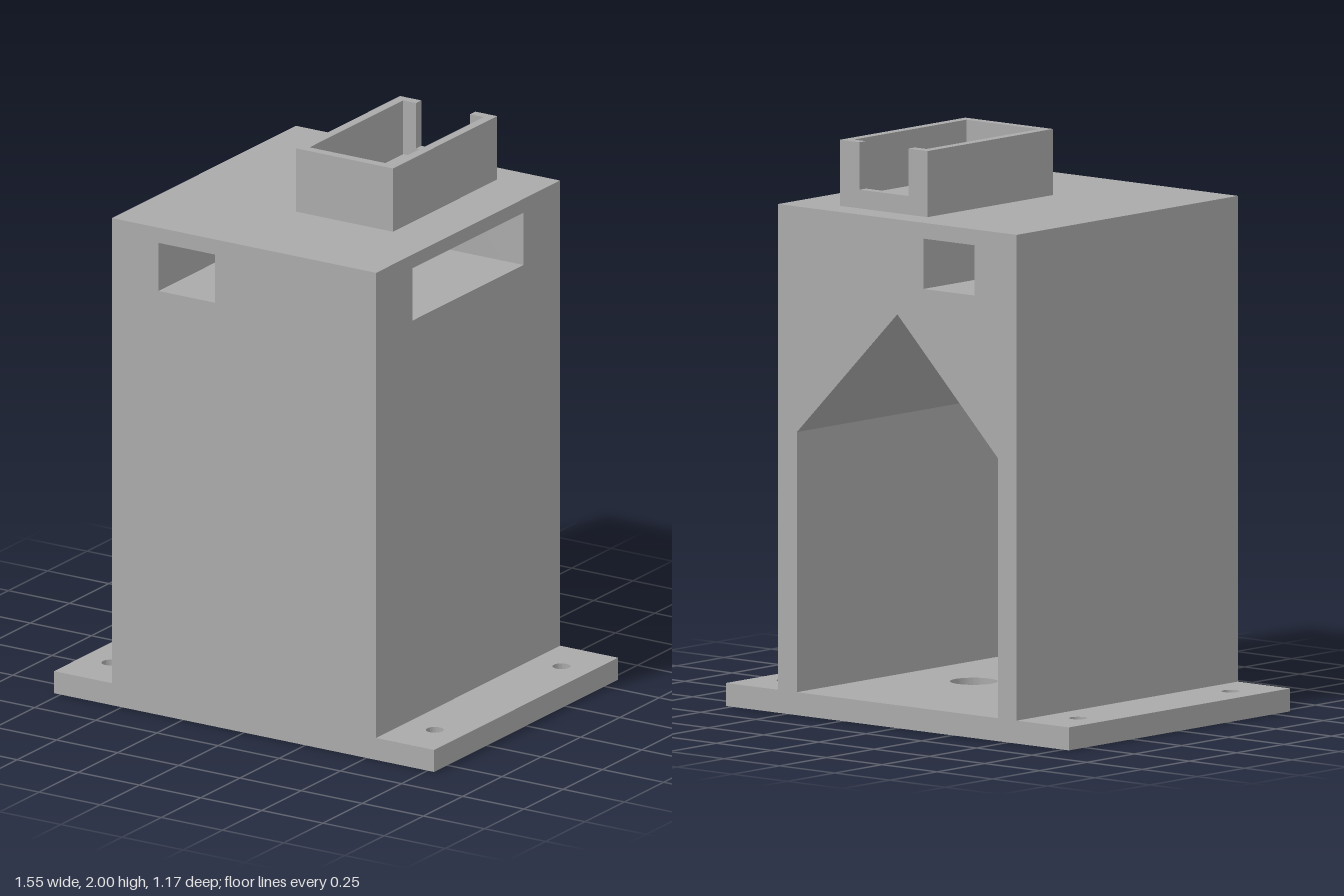
import * as THREE from 'three';
import { toCreasedNormals } from 'three/addons/utils/BufferGeometryUtils.js';

const W = 0.54, D = 0.585, T = 0.455;   // body half width, half depth, cavity half width
const C = 0.155, R = 0.352;             // disc slot centre x and radius
const EAVES = 0.985, BASE = 0.08;

export function createModel() {
  const model = new THREE.Group();
  const grey = new THREE.MeshStandardMaterial({ color: 0xaaaaaa });
  grey.name = 'plain grey';

  const add = (name, geometry) => {
    const mesh = new THREE.Mesh(geometry, grey);
    mesh.name = name;
    model.add(mesh);
  };

  // Plan shapes are drawn as (x, -z) and extruded upwards
  const poly = (pts) => new THREE.Shape(pts.map(([x, y]) => new THREE.Vector2(x, y)));
  const rect = (x0, x1, z0, z1) => poly([[x0, -z1], [x1, -z1], [x1, -z0], [x0, -z0]]);
  const drill = (shape, x, z, r) => {
    shape.holes.push(new THREE.Path().absarc(x, -z, r, 0, Math.PI * 2, true));
    return shape;
  };
  const extrude = (shape, y0, y1) => new THREE.ExtrudeGeometry(shape, {
    depth: y1 - y0, bevelEnabled: false, curveSegments: 32,
  }).rotateX(-Math.PI / 2).translate(0, y0, 0);
  const layer = (name, shape, y0, y1) => add(name, toCreasedNormals(extrude(shape, y0, y1), 0.5));

  // Base plate with four screw holes and a central drain
  const plate = drill(rect(-0.777, 0.777, -D, D), C, 0, 0.082);
  for (const x of [-0.663, 0.663]) for (const z of [-0.403, 0.403]) drill(plate, x, z, 0.031);
  layer('basePlate', plate, 0, BASE);

  // Lower walls around the cavity, which is open at the back
  layer('sideWallLeft', rect(T, W, -D, D), BASE, 1.53);
  layer('sideWallRight', rect(-W, -T, -D, D), BASE, 1.53);
  layer('frontWall', rect(-T, T, 0.5, D), BASE, 1.53);

  // Pitched cavity ceiling: the underside of each half follows the slope
  const ceiling = (name, shape) => {
    const g = extrude(shape, 1, 1.53);
    const p = g.attributes.position;
    for (let i = 0; i < p.count; i++) {
      if (p.getY(i) < 1.2) p.setY(i, EAVES + T - Math.abs(p.getX(i)));
    }
    add(name, toCreasedNormals(g, 0.5));
  };
  ceiling('ceilingLeft', drill(rect(0, T, -D, 0.5), C, 0, 0.082));
  ceiling('ceilingRight', rect(-T, 0, -D, 0.5));

  // Round-ended disc slot, open on the +x side
  const slotShape = () => {
    const s = new THREE.Shape();
    s.moveTo(-W, -D).lineTo(W, -D).lineTo(W, -R).lineTo(C, -R);
    s.absarc(C, 0, R, -Math.PI / 2, Math.PI / 2, true);
    s.lineTo(W, R).lineTo(W, D).lineTo(-W, D);
    return s;
  };
  layer('slotFloor', slotShape(), 1.53, 1.54);
  layer('slotCeiling', slotShape(), 1.715, 1.72);

  // Middle of the slot, crossed by a straight front-to-back channel
  const cx = -0.118;
  const angle = Math.acos((cx - C) / R);
  layer('channelWall', rect(-W, -0.35, -D, D), 1.54, 1.715);
  for (const s of [1, -1]) {
    const side = new THREE.Shape();
    side.moveTo(cx, s * D).lineTo(cx, s * R * Math.sin(angle));
    side.absarc(C, 0, R, s * angle, s * Math.PI / 2, s > 0);
    side.lineTo(W, s * R).lineTo(W, s * D);
    layer(s > 0 ? 'slotSideBack' : 'slotSideFront', side, 1.54, 1.715);
  }

  // Roof
  layer('roof', drill(rect(-W, W, -D, D), C, 0, 0.082), 1.72, 1.77);

  // Tray: drilled floor, low rim and U-shaped wall with a notch at the back
  const x0 = -0.045, x1 = 0.352, z0 = -0.478, z1 = 0.185, t = 0.034;
  layer('trayFloor', drill(rect(x0, x1, z0, z1), C, 0, 0.086), 1.77, 1.805);
  const rim = rect(x0, x1, z0, z1);
  rim.holes.push(rect(x0 + t, x1 - t, z0 + t, z1 - t));
  layer('trayRim', rim, 1.805, 1.835);
  layer('trayWall', poly([
    [0.042, -z0], [x0, -z0], [x0, -z1], [x1, -z1], [x1, -z0], [0.263, -z0],
    [0.263, -z0 - t], [x1 - t, -z0 - t], [x1 - t, -z1 + t],
    [x0 + t, -z1 + t], [x0 + t, -z0 - t], [0.042, -z0 - t],
  ]), 1.835, 2);

  return model;
}
